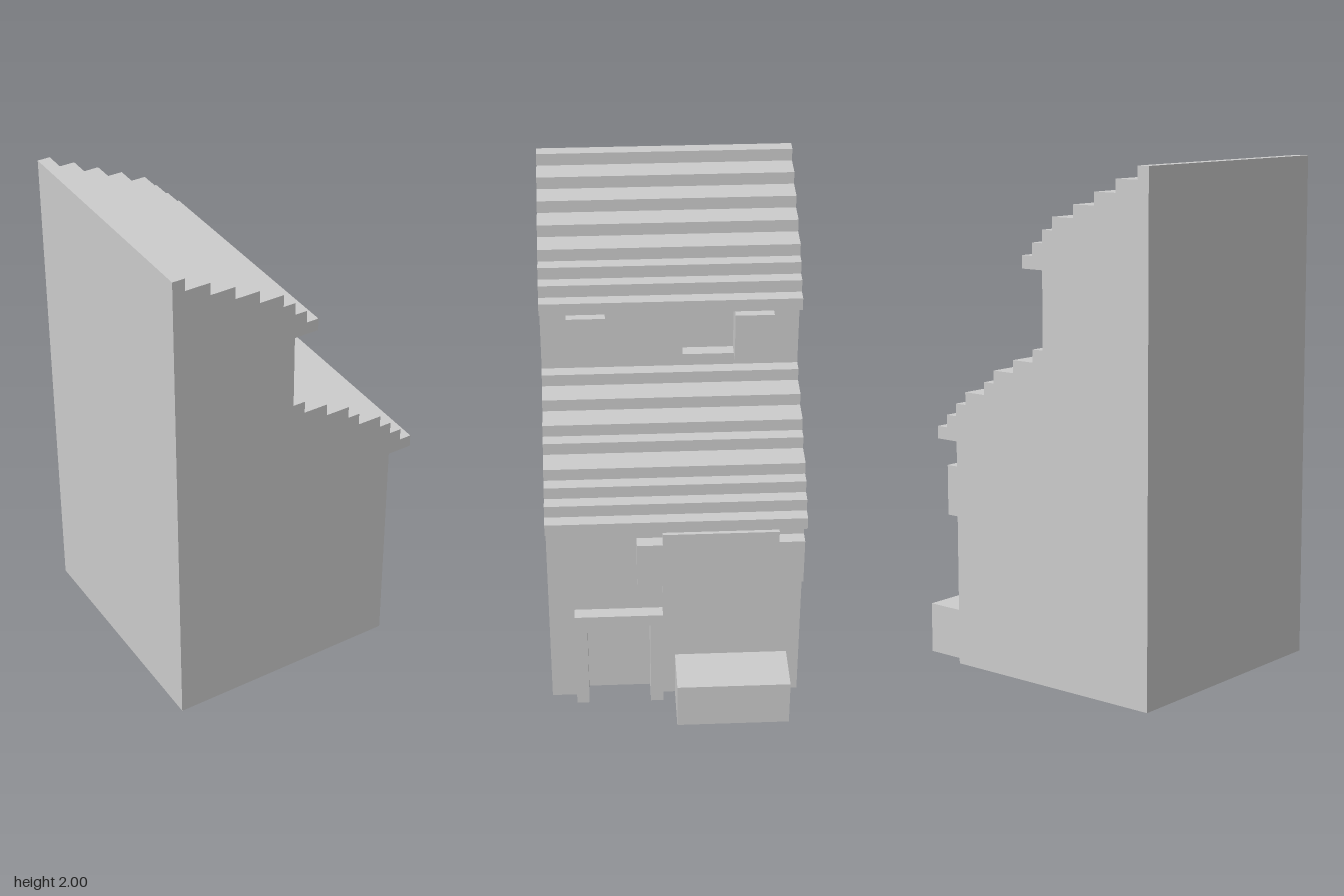
import * as THREE from 'three';

const material = new THREE.MeshStandardMaterial({ color: 0xcccccc, flatShading: true });
const STEP = 0.05; // thickness of walls, frames and roof courses
const WALL_X = { lower: 0.375, upper: -0.075 };

function toPath(PathType, points) {
  return new PathType(points.map(([a, b]) => new THREE.Vector2(a, b)));
}

// Corners of a rectangle in the facade plane, as [z, y]
function rect(z0, z1, y0, y1) {
  return [[z0, y0], [z1, y0], [z1, y1], [z0, y1]];
}

// Facade panel drawn in [z, y], thickened from x towards +x
function panel(name, x, outline, holes = [], depth = STEP) {
  const flip = (pts) => pts.map(([z, y]) => [-z, y]);
  const shape = toPath(THREE.Shape, flip(outline));
  shape.holes = holes.map((h) => toPath(THREE.Path, flip(h)));
  const geometry = new THREE.ExtrudeGeometry(shape, { depth, bevelEnabled: false });
  geometry.rotateY(Math.PI / 2).translate(x, 0, 0);
  const mesh = new THREE.Mesh(geometry, material);
  mesh.name = name;
  return mesh;
}

// Descending roof courses: each entry is the outer edge of a tread
function roofSteps(topY, edges) {
  return edges.flatMap((x, i) => [[x, topY - i * STEP], [x, topY - (i + 1) * STEP]]);
}

export function createModel() {
  const house = new THREE.Group();
  house.name = 'house';

  // Solid core with both stepped roofs; walls set back to leave the recesses
  const profile = [
    [-0.575, 0], [-0.575, 2],
    ...roofSteps(2, [-0.525, -0.425, -0.325, -0.225, -0.125, -0.075, -0.025, 0.025]),
    [WALL_X.upper - STEP, 1.6], [WALL_X.upper - STEP, 1.3],
    ...roofSteps(1.3, [-0.025, 0.075, 0.175, 0.225, 0.325, 0.375, 0.425, 0.475]),
    [WALL_X.lower - STEP, 0.9], [WALL_X.lower - STEP, 0],
  ];
  const coreGeometry = new THREE.ExtrudeGeometry(toPath(THREE.Shape, profile), { depth: 1, bevelEnabled: false });
  coreGeometry.translate(0, 0, -0.5);
  const core = new THREE.Mesh(coreGeometry, material);
  core.name = 'bodyAndRoofs';
  house.add(core);

  // Upper wall with two window recesses, each with an outer shutter
  const upperWindows = [1, -1].map((s) => rect(s * 0.05, s * 0.25, 1.35, 1.55));
  house.add(panel('upperWall', WALL_X.upper - STEP, rect(-0.5, 0.5, 1.3, 1.6), upperWindows));
  for (const s of [1, -1]) {
    house.add(panel(s > 0 ? 'frontShutter' : 'backShutter', WALL_X.upper, rect(s * 0.25, s * 0.4, 1.35, 1.55)));
  }

  // Lower wall with a doorway notch and a window recess
  const lowerWindow = rect(-0.35, 0, 0.6, 0.8);
  house.add(panel('lowerWall', WALL_X.lower - STEP, [
    [-0.5, 0], [0.1, 0], [0.1, 0.4], [0.35, 0.4], [0.35, 0], [0.5, 0], [0.5, 0.9], [-0.5, 0.9],
  ], [lowerWindow]));

  // Window frame joined to its side shutters
  house.add(panel('lowerWindowFrame', WALL_X.lower, [
    [-0.5, 0.6], [-0.4, 0.6], [-0.4, 0.55], [0.05, 0.55], [0.05, 0.6], [0.15, 0.6],
    [0.15, 0.8], [0.05, 0.8], [0.05, 0.85], [-0.4, 0.85], [-0.4, 0.8], [-0.5, 0.8],
  ], [lowerWindow]));

  // Door surround, open at the bottom
  house.add(panel('doorFrame', WALL_X.lower, [
    [0.05, 0], [0.1, 0], [0.1, 0.4], [0.35, 0.4], [0.35, 0], [0.4, 0], [0.4, 0.45], [0.05, 0.45],
  ]));

  // Planter block below the window
  house.add(panel('planter', WALL_X.lower, rect(-0.45, 0, 0, 0.2), [], 0.2));

  return house;
}
